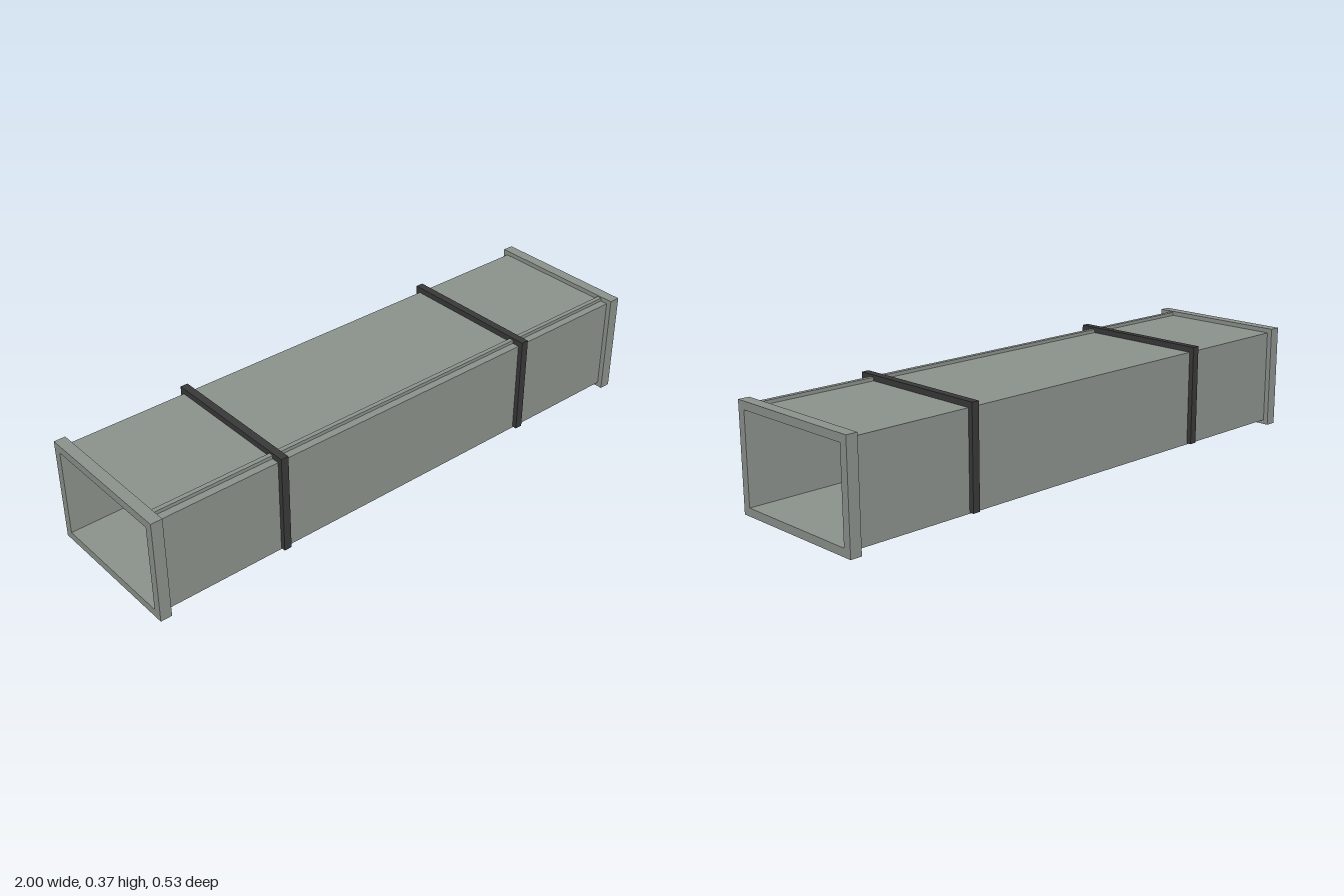
import * as THREE from 'three';

// Rectangular tube running along x, centred at height cy
function tube(halfZ, halfY, inZ, inY, length, cy) {
  const rect = (P, z, y) => {
    const p = new P();
    p.moveTo(-z, -y); p.lineTo(z, -y); p.lineTo(z, y); p.lineTo(-z, y); p.closePath();
    return p;
  };
  const shape = rect(THREE.Shape, halfZ, halfY);
  shape.holes.push(rect(THREE.Path, inZ, inY));
  const geo = new THREE.ExtrudeGeometry(shape, { depth: length, bevelEnabled: false });
  return geo.translate(0, 0, -length / 2).rotateY(Math.PI / 2).translate(0, cy, 0);
}

export function createModel() {
  const group = new THREE.Group();
  const metal = new THREE.MeshStandardMaterial({ color: 0x8a908a });
  metal.name = 'galvanised grey';
  const dark = new THREE.MeshStandardMaterial({ color: 0x383838 });
  dark.name = 'strap black';

  const add = (name, geo, mat, x = 0, y = 0, z = 0, parent = group) => {
    const mesh = new THREE.Mesh(geo, mat);
    mesh.name = name;
    mesh.position.set(x, y, z);
    parent.add(mesh);
    return mesh;
  };

  const cy = 0.184, inZ = 0.238, inY = 0.156;

  // Hollow duct body, open at both ends
  add('ductBody', tube(0.249, 0.168, inZ, inY, 1.92, cy), metal);

  // Raised seam along the front of the top
  add('topSeam', new THREE.BoxGeometry(1.92, 0.012, 0.016), metal, 0, 0.358, 0.214);

  for (const [side, s] of [['left', 1], ['right', -1]]) {
    // End flange
    add(side + 'Flange', tube(0.267, 0.184, inZ, inY, 0.04, cy), metal, s * 0.98);

    // Hanger strap: two legs and a bar across the top
    const strap = new THREE.Group();
    strap.name = side + 'Strap';
    strap.position.x = s * 0.519;
    group.add(strap);
    add('strapTop', new THREE.BoxGeometry(0.027, 0.02, 0.532), dark, 0, 0.362, 0, strap);
    for (const f of [1, -1]) {
      add(f > 0 ? 'strapFront' : 'strapBack', new THREE.BoxGeometry(0.027, 0.332, 0.017), dark,
        0, 0.186, f * 0.2575, strap);
    }
  }
  return group;
}
